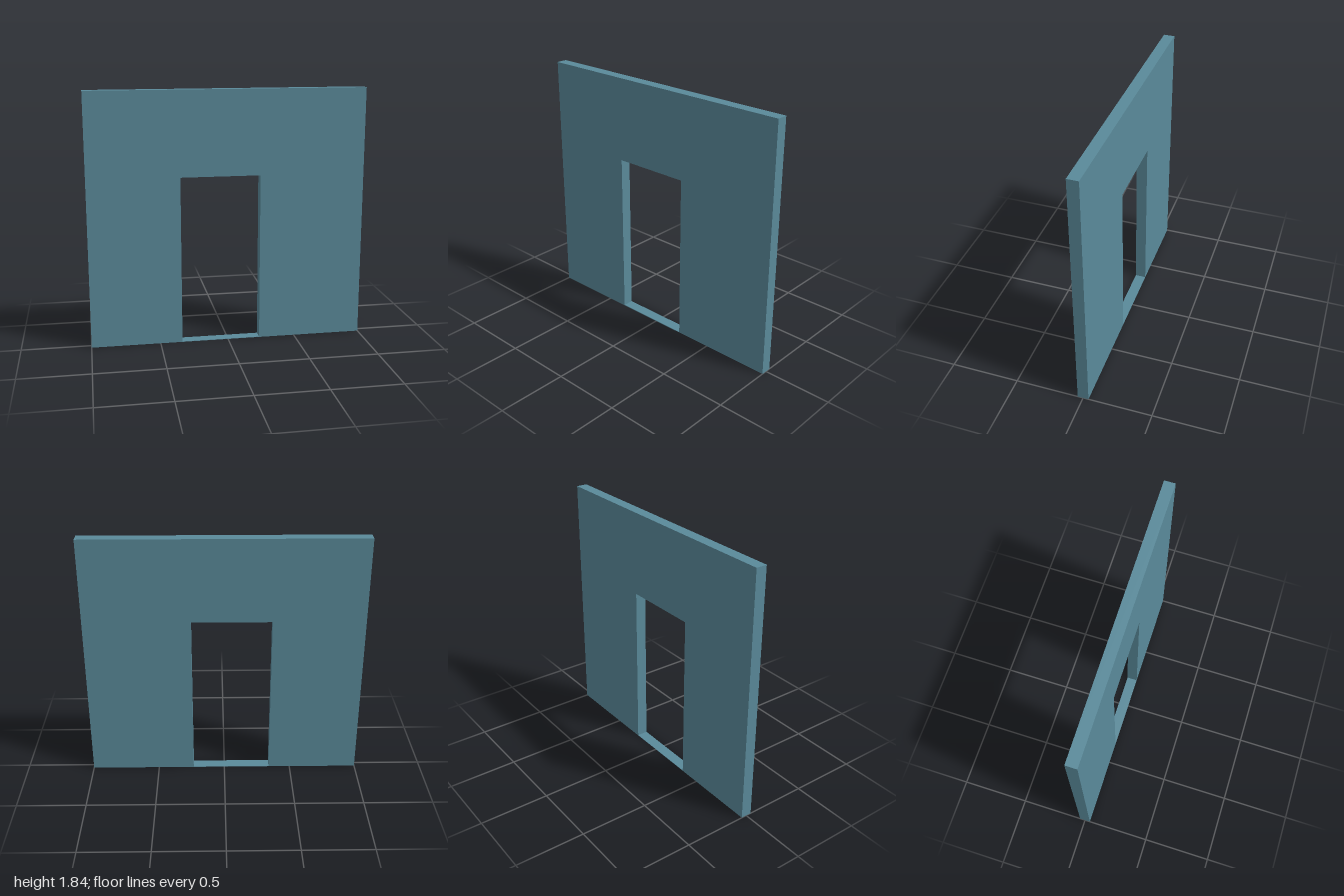
import * as THREE from 'three';

const WIDTH = 2, HEIGHT = 1.84, DEPTH = 0.08;
const DOOR = { left: -0.34, right: 0.235, sill: 0.003, top: 1.227 };

// Closed rectangular outline
function rectangle(PathType, x0, y0, x1, y1) {
  const path = new PathType();
  path.moveTo(x0, y0);
  path.lineTo(x1, y0);
  path.lineTo(x1, y1);
  path.lineTo(x0, y1);
  path.closePath();
  return path;
}

export function createModel() {
  const group = new THREE.Group();
  group.name = 'doorwayWall';

  // Wall panel with an off-centre doorway and a very thin sill across its foot
  const outline = rectangle(THREE.Shape, -WIDTH / 2, 0, WIDTH / 2, HEIGHT);
  outline.holes.push(rectangle(THREE.Path, DOOR.left, DOOR.sill, DOOR.right, DOOR.top));
  const geometry = new THREE.ExtrudeGeometry(outline, { depth: DEPTH, bevelEnabled: false });
  geometry.translate(0, 0, -DEPTH / 2);

  const wall = new THREE.Mesh(geometry, new THREE.MeshStandardMaterial({ color: 0x5a8a9a }));
  wall.name = 'wall';
  group.add(wall);
  return group;
}
